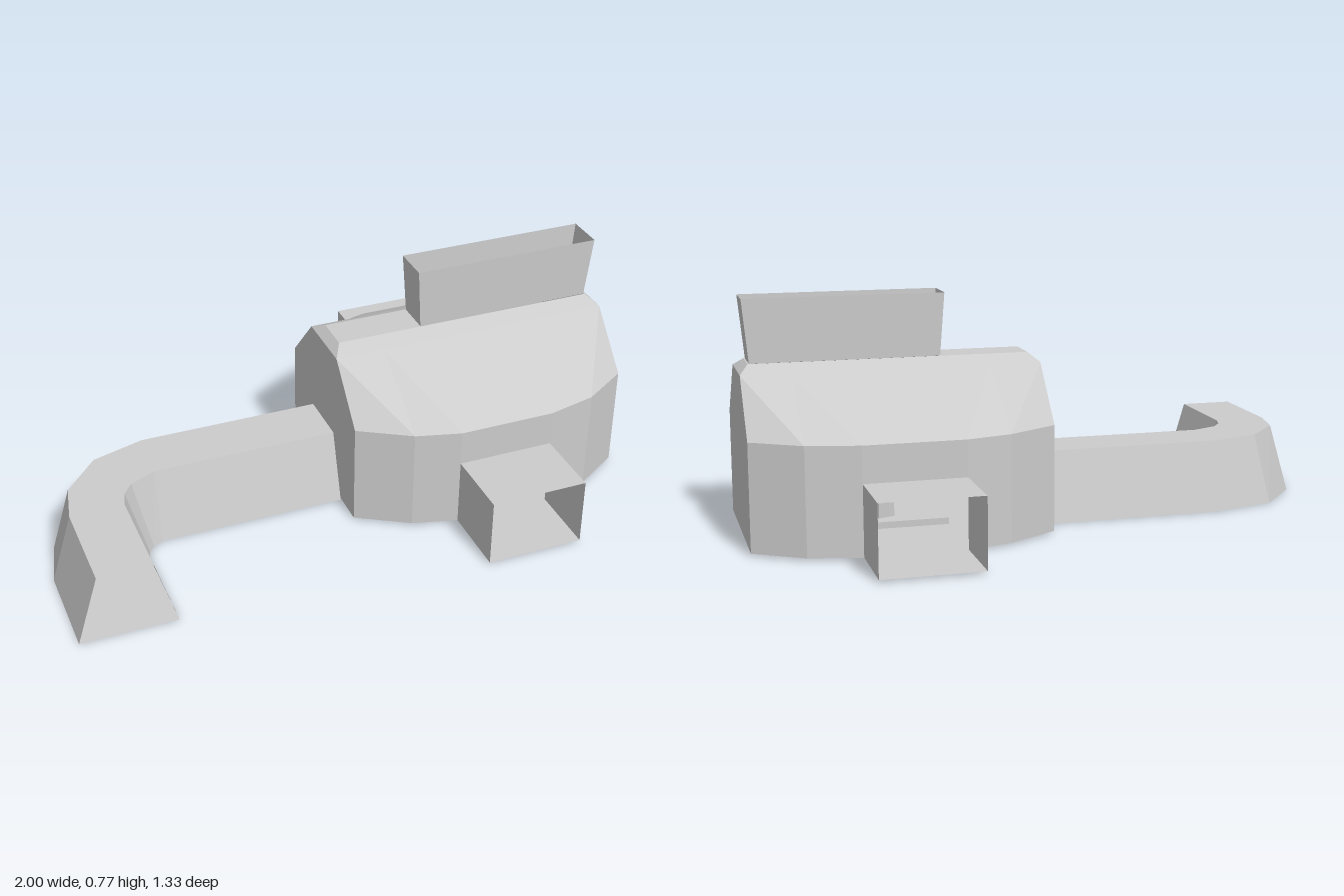
import * as THREE from 'three';

const material = new THREE.MeshStandardMaterial({ color: 0xcccccc, flatShading: true, side: THREE.DoubleSide });

// Flat-shaded thin surface from polygon faces, each a loop of [x, y, z] corners
function surface(name, faces) {
  const pos = [];
  for (const f of faces)
    for (let i = 1; i < f.length - 1; i++) pos.push(...f[0], ...f[i], ...f[i + 1]);
  const geo = new THREE.BufferGeometry();
  geo.setAttribute('position', new THREE.Float32BufferAttribute(pos, 3));
  geo.computeVertexNormals();
  const mesh = new THREE.Mesh(geo, material);
  mesh.name = name;
  return mesh;
}

// Quads between two rows of points; flip(i) picks the other diagonal
function strip(a, b, flip = () => false) {
  return a.slice(1).map((_, i) => flip(i)
    ? [a[i + 1], b[i + 1], b[i], a[i]]
    : [a[i], a[i + 1], b[i + 1], b[i]]);
}

// Rectangle ring at height y, closed
const ring = (x0, x1, z, y) => [[x0, y, -z], [x0, y, z], [x1, y, z], [x1, y, -z], [x0, y, -z]];

export function createModel() {
  const model = new THREE.Group();
  const floorY = 0.008, eaveY = 0.36, doorY = 0.24;
  const xs = [0.02, 0.19, 0.34, 0.67, 0.84, 1];
  const zs = [0.28, 0.38, 0.42, 0.42, 0.38, 0.28];
  const clampX = x => Math.min(0.97, Math.max(0.05, x));

  // Long walls, roof slopes and door tunnels, mirrored front to back
  for (const s of [1, -1]) {
    const base = xs.map((x, i) => [x, i === 2 || i === 3 ? doorY : floorY, s * zs[i]]);
    const eave = xs.map((x, i) => [x, eaveY, s * zs[i]]);
    const ridge = xs.map(x => [x, 0.54, s * 0.115]);
    const top = xs.map(x => [clampX(x), 0.567, s * 0.062]);
    const foot = xs.map((x, i) => [x, floorY, s * zs[i]]);
    const wallFaces = strip(foot, eave);
    wallFaces[2] = [base[2], base[3], eave[3], eave[2]];
    model.add(surface('sideWall', wallFaces));
    model.add(surface('roofSlope', [...strip(eave, ridge, i => i < 2), ...strip(ridge, top)]));

    const arch = z => [[0.34, floorY, z], [0.34, doorY, z], [0.67, doorY, z], [0.67, floorY, z]];
    model.add(surface('doorTunnel', strip(arch(s * 0.42), arch(s * 0.665))));
  }

  // Gable walls: the one on the passage side has an opening
  const gable = (x, hole) => {
    const shape = new THREE.Shape();
    const outline = [[-0.28, floorY], [-0.28, eaveY], [-0.115, 0.54], [0.115, 0.54], [0.28, eaveY], [0.28, floorY]];
    if (hole) outline.push([0.16, floorY], [0.09, 0.235], [-0.1, 0.235], [-0.165, floorY]);
    shape.setFromPoints(outline.map(p => new THREE.Vector2(-p[0], p[1])));
    const mesh = new THREE.Mesh(new THREE.ShapeGeometry(shape), material);
    mesh.rotation.y = Math.PI / 2;
    mesh.position.x = x;
    mesh.name = 'endWall';
    return mesh;
  };
  model.add(gable(0.02, true), gable(1, false));

  // Ridge cap with bevelled ends, open under the chute
  const flat = (a, b) => [[a, 0.567, -0.062], [a, 0.567, 0.062], [b, 0.567, 0.062], [b, 0.567, -0.062]];
  const bevel = (x, xi) => [[x, 0.54, 0.115], [x, 0.54, -0.115], [xi, 0.567, -0.062], [xi, 0.567, 0.062]];
  model.add(surface('ridgeCap', [flat(0.05, 0.345), flat(0.965, 0.97), bevel(0.02, 0.05), bevel(1, 0.97)]));

  // Flared open chute on the ridge
  model.add(surface('roofChute', strip(ring(0.345, 0.965, 0.06, 0.567), ring(0.33, 0.985, 0.066, 0.775))));

  // Floor of hall and tunnels with a square recess
  const floor = new THREE.Shape();
  const half = [[0.02, 0.28], [0.19, 0.38], [0.34, 0.42], [0.34, 0.665], [0.67, 0.665], [0.67, 0.42], [0.84, 0.38], [1, 0.28]];
  const mirrored = half.map(([x, z]) => [x, -z]).reverse();
  floor.setFromPoints([...half, ...mirrored].map(p => new THREE.Vector2(...p)));
  const pit = [[0.33, -0.1], [0.33, 0.1], [0.605, 0.1], [0.605, -0.1]];
  floor.holes.push(new THREE.Path(pit.map(p => new THREE.Vector2(...p))));
  const floorMesh = new THREE.Mesh(new THREE.ShapeGeometry(floor), material);
  floorMesh.rotation.x = Math.PI / 2;
  floorMesh.position.y = floorY;
  floorMesh.name = 'floor';
  model.add(floorMesh);

  // Raised plate over the recess, hollow from below
  const plateTop = ring(0.33, 0.605, 0.1, 0.03);
  model.add(surface('floorPlate', [...strip(ring(0.33, 0.605, 0.1, floorY), plateTop), plateTop.slice(0, 4)]));

  // Small pointed block on the plate
  const block = [[0.5, -0.03], [0.555, -0.05], [0.592, 0], [0.555, 0.05], [0.5, 0.03]];
  const at = y => block.map(([x, z]) => [x, y, z]);
  const low = at(0.03), high = at(0.08);
  model.add(surface('pointedBlock', [high, ...strip([...low, low[0]], [...high, high[0]])]));

  // Bent passage: plan points of each long edge from hall to mouth
  const edge = (y, pts) => pts.map(([x, z]) => [x, y, z]);
  const outerLow = edge(0, [[0.02, -0.165], [-0.6, -0.165], [-0.82, -0.1], [-0.96, 0.065], [-1, 0.23], [-1, 0.56]]);
  const outerTop = edge(0.235, [[0.02, -0.1], [-0.6, -0.1], [-0.78, -0.045], [-0.9, 0.09], [-0.93, 0.23], [-0.93, 0.56]]);
  const innerTop = edge(0.235, [[0.02, 0.09], [-0.61, 0.09], [-0.7, 0.13], [-0.735, 0.175], [-0.75, 0.23], [-0.75, 0.56]]);
  const innerLow = edge(0, [[0.02, 0.16], [-0.615, 0.16], [-0.65, 0.175], [-0.67, 0.2], [-0.68, 0.23], [-0.68, 0.56]]);
  model.add(surface('bentPassage', [
    ...strip(outerLow, outerTop), ...strip(outerTop, innerTop),
    ...strip(innerTop, innerLow), ...strip(innerLow, outerLow),
  ]));

  return model;
}
